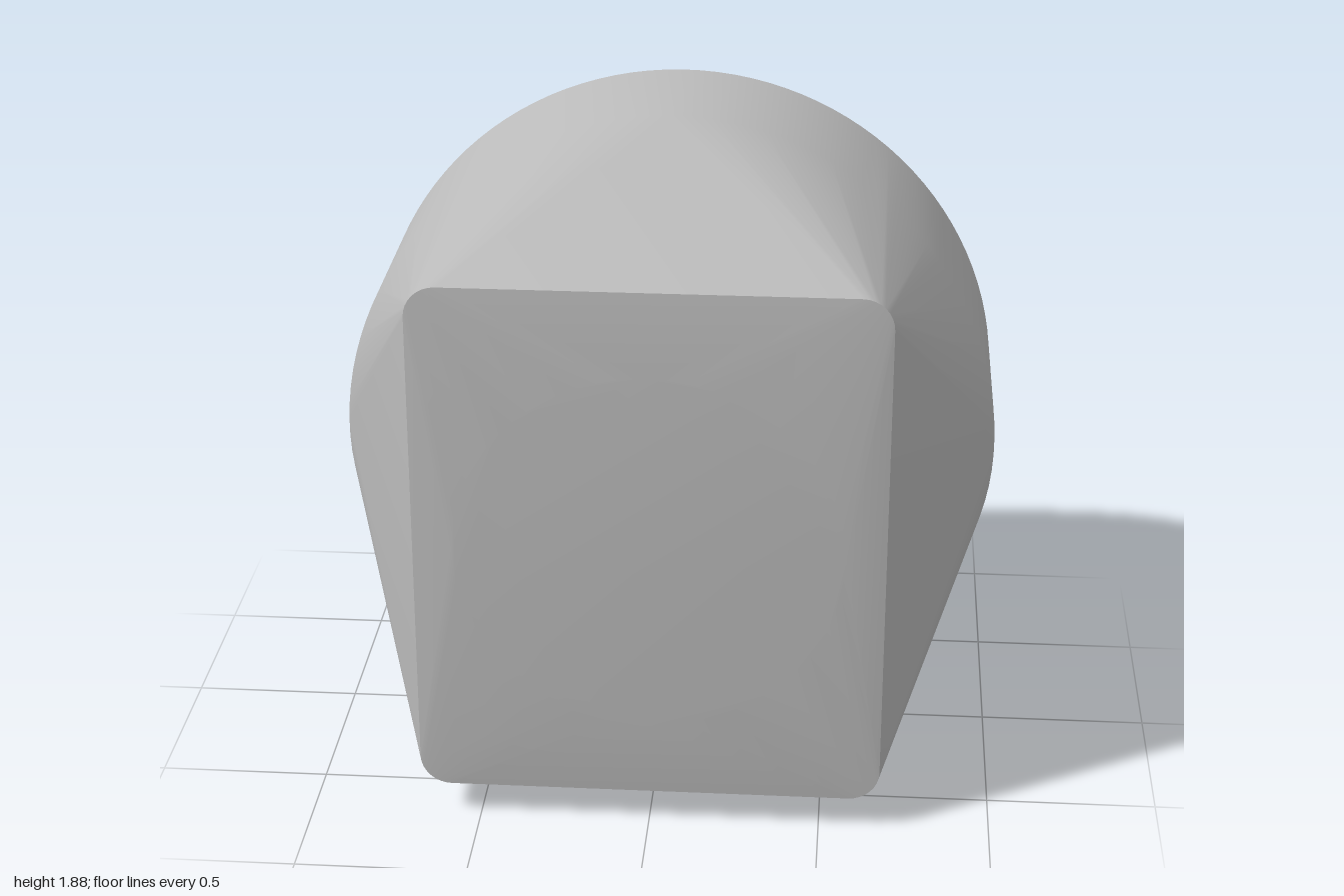
import * as THREE from 'three';
import { ConvexGeometry } from 'three/addons/geometries/ConvexGeometry.js';
import { toCreasedNormals } from 'three/addons/utils/BufferGeometryUtils.js';

const CENTRE_Y = 0.88;

// Circle of radius 1 with its underside cut off level at floorY; zAt gives the depth for each height
function cutCircle(floorY, zAt, segments = 96) {
  const start = Math.asin(floorY - CENTRE_Y);
  const sweep = Math.PI - 2 * start;
  return Array.from({ length: segments + 1 }, (_, i) => {
    const a = start + (sweep * i) / segments;
    const s = Math.sin(a);
    return new THREE.Vector3(Math.cos(a), CENTRE_Y + s, zAt(s));
  });
}

// Rounded rectangle outline on a plane of constant z
function roundedRect(halfW, y0, y1, r, z, steps = 8) {
  const points = [];
  for (const sx of [-1, 1]) {
    for (const sy of [-1, 1]) {
      const cy = sy > 0 ? y1 - r : y0 + r;
      for (let i = 0; i <= steps; i++) {
        const a = (i / steps) * Math.PI / 2;
        points.push(new THREE.Vector3(
          sx * (halfW - r + r * Math.cos(a)), cy + sy * r * Math.sin(a), z));
      }
    }
  }
  return points;
}

export function createModel() {
  const group = new THREE.Group();
  group.name = 'squareToRoundBlock';
  const grey = new THREE.MeshStandardMaterial({ color: 0xbbbbbb });
  grey.name = 'grey';

  // Round back end
  const back = cutCircle(0.015, () => -0.715);
  // Where the round barrel begins to taper: later at the sides, sooner above and below
  const shoulder = cutCircle(0, (s) => -0.13 - (s > 0 ? 0.11 : 0.35) * s * s);
  // Square front rim
  const rim = roundedRect(0.675, 0.1, 1.67, 0.09, 0.685);
  // Shallow raised centre of the front face
  const crown = Array.from({ length: 32 }, (_, i) => {
    const a = (i / 32) * Math.PI * 2;
    return new THREE.Vector3(0.56 * Math.cos(a), 0.885 + 0.545 * Math.sin(a), 0.713);
  });

  const hull = new ConvexGeometry([...back, ...shoulder, ...rim, ...crown]);
  const body = new THREE.Mesh(toCreasedNormals(hull, 0.42), grey);
  body.name = 'body';
  group.add(body);
  return group;
}
